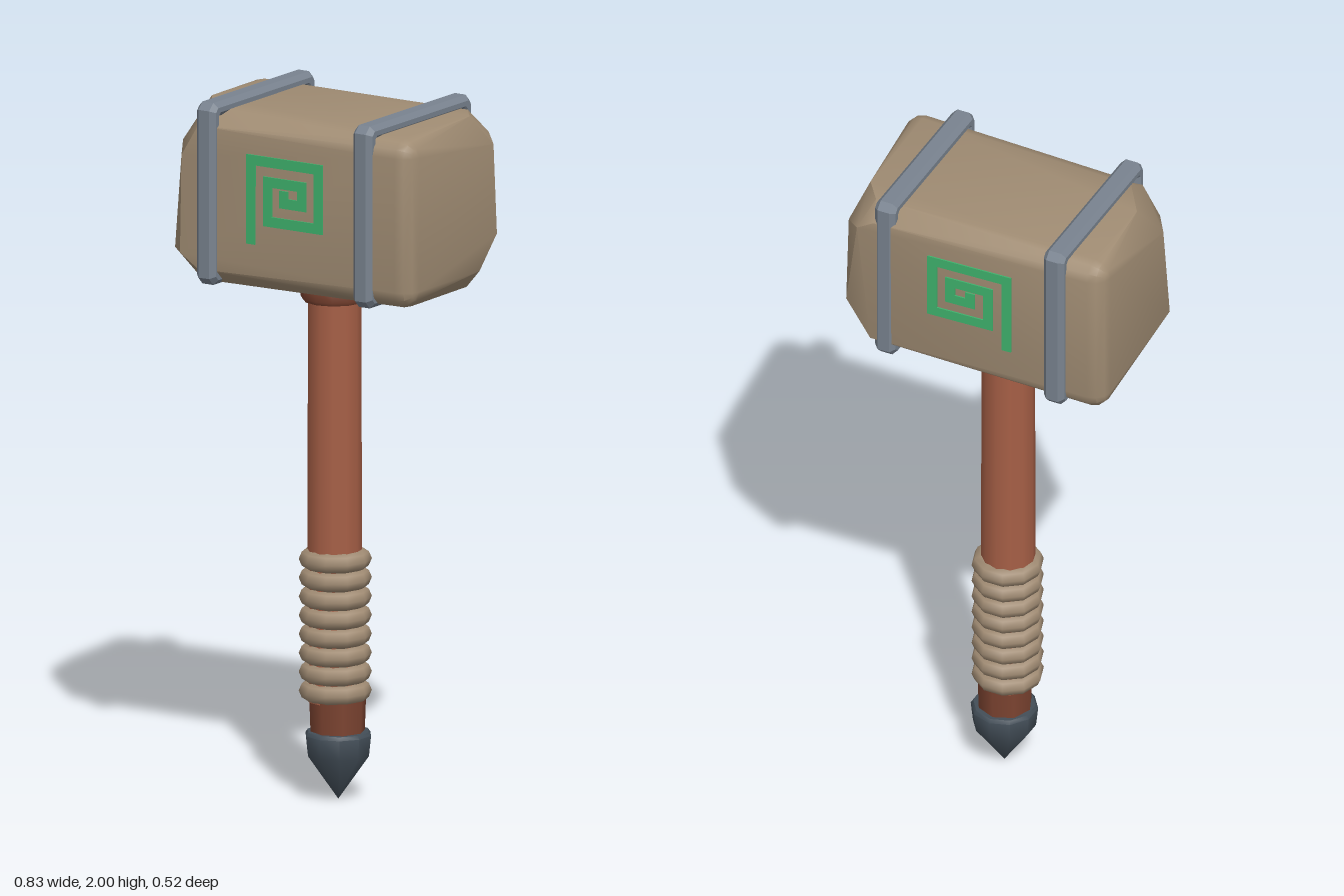
import * as THREE from 'three';
import { toCreasedNormals } from 'three/addons/utils/BufferGeometryUtils.js';
import { ConvexGeometry } from 'three/addons/geometries/ConvexGeometry.js';

const material = (name, color) => {
  const m = new THREE.MeshStandardMaterial({ color });
  m.name = name;
  return m;
};

export function createModel() {
  const stone = material('stone', 0xa08c73);
  const wood = material('wood', 0xa65f46);
  const darkWood = material('dark wood', 0x7d4431);
  const rope = material('rope', 0xa18c74);
  const steel = material('steel', 0x79838f);
  const iron = material('dark iron', 0x434e58);
  const green = material('green rune', 0x3fb36d);

  const model = new THREE.Group();
  model.name = 'warHammer';
  const add = (name, geometry, mat, x = 0, y = 0, z = 0) => {
    const mesh = new THREE.Mesh(geometry, mat);
    mesh.name = name;
    mesh.position.set(x, y, z);
    model.add(mesh);
    return mesh;
  };

  // Stone head: hull of softly rounded corners, four of them chipped away
  const chips = {
    '-1,1,1': [[-0.37, 1.975, 0.065], [-0.3, 1.974, 0.17], [-0.41, 1.86, 0.15], [-0.355, 1.84, 0.24], [-0.3, 1.93, 0.24]],
    '1,1,-1': [[0.36, 1.97, -0.135], [0.31, 1.97, -0.2], [0.29, 1.93, -0.258], [0.34, 1.9, -0.26], [0.39, 1.88, -0.21]],
    '-1,-1,1': [[-0.31, 1.482, 0.2], [-0.36, 1.482, 0.14], [-0.41, 1.56, 0.19], [-0.36, 1.56, 0.24], [-0.3, 1.52, 0.24]],
    '1,-1,-1': [[0.3, 1.485, -0.2], [0.36, 1.485, -0.12], [0.39, 1.53, -0.14], [0.388, 1.62, -0.23], [0.3, 1.53, -0.257]],
  };
  const points = [];
  const r = 0.05;
  for (const sx of [-1, 1]) for (const sy of [-1, 1]) for (const sz of [-1, 1]) {
    const chip = chips[[sx, sy, sz].join()];
    if (chip) {
      chip.forEach(p => points.push(new THREE.Vector3(...p)));
      continue;
    }
    const x = sx < 0 ? -0.414 : (sz > 0 ? 0.413 : 0.392);
    const y = sy > 0 ? (sx < 0 ? 1.975 : 1.97) : (sx < 0 ? 1.48 : 1.487);
    const z = sz > 0 ? (sx < 0 ? 0.24 : 0.246) : (sx < 0 ? -0.237 : -0.26);
    for (let i = 0; i <= 3; i++) for (let j = 0; j <= 3; j++) {
      const a = i * Math.PI / 6, b = j * Math.PI / 6;
      points.push(new THREE.Vector3(
        x - sx * r * (1 - Math.sin(a)),
        y - sy * r * (1 - Math.cos(a) * Math.cos(b)),
        z - sz * r * (1 - Math.cos(a) * Math.sin(b))));
    }
  }
  add('stoneHead', toCreasedNormals(new ConvexGeometry(points), 0.6), stone);

  // Bevelled square steel bands around the head
  const square = (Path, h, c) => new Path([
    [h, -h + c], [h, h - c], [h - c, h], [-h + c, h],
    [-h, h - c], [-h, -h + c], [-h + c, -h], [h - c, -h],
  ].map(([x, y]) => new THREE.Vector2(x, y)));
  const bandShape = square(THREE.Shape, 0.246, 0.012);
  bandShape.holes.push(square(THREE.Path, 0.232, 0.01));
  const bandGeometry = new THREE.ExtrudeGeometry(bandShape, {
    depth: 0.036, bevelEnabled: true, bevelSize: 0.014, bevelThickness: 0.014, bevelSegments: 1,
  });
  bandGeometry.translate(0, 0, -0.018);
  bandGeometry.rotateY(Math.PI / 2);
  for (const [name, x] of [['rightBand', -0.267], ['leftBand', 0.258]]) {
    add(name, bandGeometry, steel, x, 1.741, 0);
  }

  // Squared spiral rune on the front and back faces
  const path = [[-0.119, 1.63], [-0.119, 1.857], [0.108, 1.857], [0.108, 1.687], [-0.063, 1.687],
    [-0.063, 1.8], [0.053, 1.8], [0.053, 1.745], [-0.008, 1.745], [-0.008, 1.766]];
  for (const [name, z, turn] of [['frontRune', 0.2435, -0.008], ['backRune', -0.249, 0.033]]) {
    const rune = new THREE.Group();
    rune.name = name;
    rune.position.z = z;
    rune.rotation.y = turn;
    for (let i = 1; i < path.length; i++) {
      const [x0, y0] = path[i - 1], [x1, y1] = path[i];
      const bar = new THREE.Mesh(
        new THREE.BoxGeometry(Math.abs(x1 - x0) + 0.029, Math.abs(y1 - y0) + 0.029, 0.008), green);
      bar.name = 'runeBar';
      bar.position.set((x0 + x1) / 2, (y0 + y1) / 2, 0);
      rune.add(bar);
    }
    model.add(rune);
  }

  // Handle, collar and the darker end below the grip
  const lathe = (profile, sides) => toCreasedNormals(
    new THREE.LatheGeometry(profile.map(p => new THREE.Vector2(...p)), sides), 0.85);
  add('handle', new THREE.CylinderGeometry(0.074, 0.078, 1.22, 12), wood, -0.002, 0.89, 0);
  add('collar', lathe([[0.07, 1.425], [0.088, 1.425], [0.094, 1.435], [0.094, 1.475], [0.085, 1.49], [0.06, 1.49]], 12), darkWood, -0.003);
  add('handleEnd', new THREE.CylinderGeometry(0.081, 0.076, 0.14, 8), darkWood, 0.008, 0.23, 0);

  // Rope grip made of stacked rings
  const ring = new THREE.TorusGeometry(0.074, 0.028, 8, 10);
  ring.rotateX(Math.PI / 2);
  for (let i = 0; i < 8; i++) add('ropeRing', ring, rope, 0, 0.309 + i * 0.0538, 0);

  // Pointed iron pommel
  add('pommel', lathe([[0, 0], [0.089, 0.127], [0.095, 0.185], [0.088, 0.195], [0, 0.195]], 10), iron, 0.01);

  return model;
}
